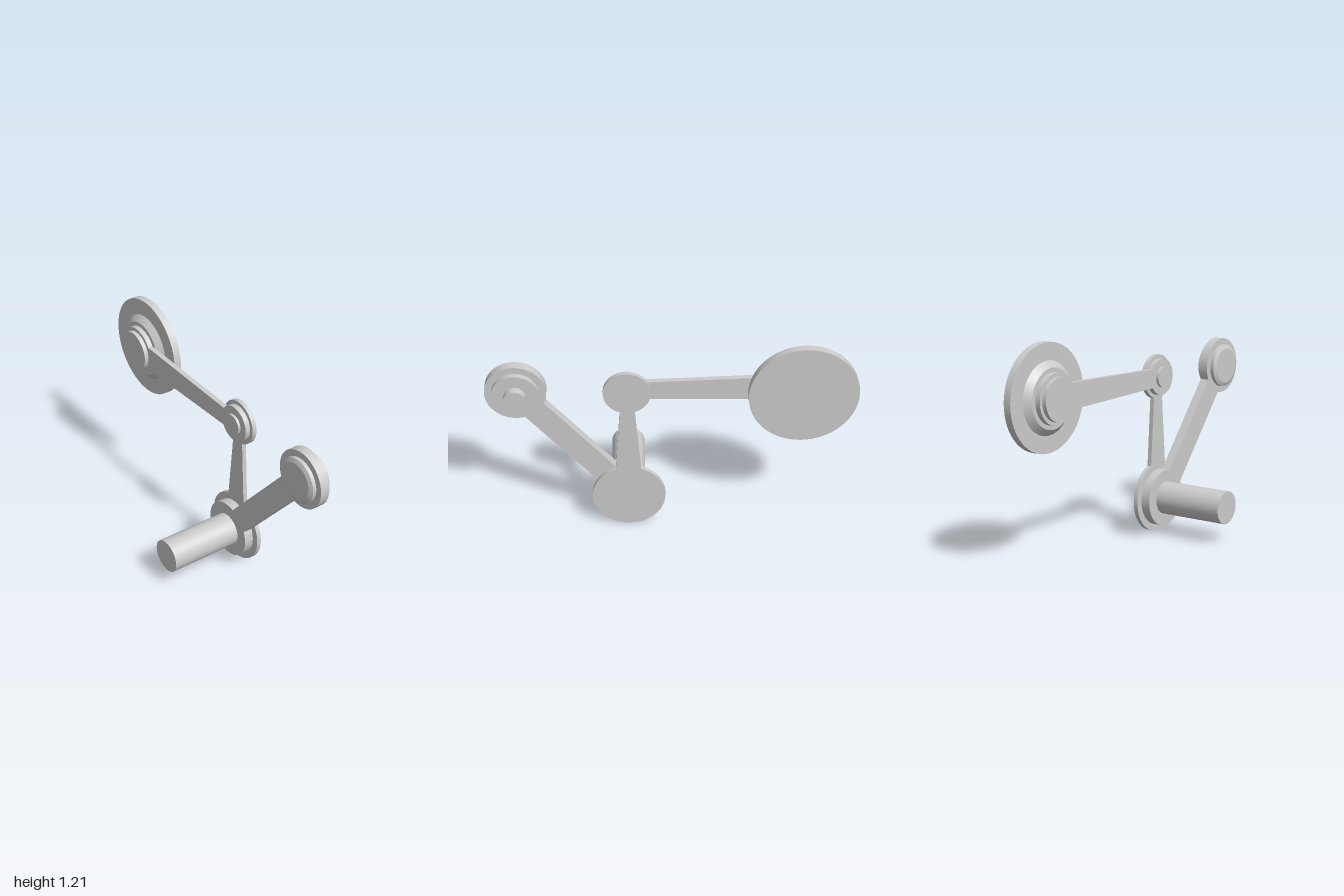
import * as THREE from 'three';
import { toCreasedNormals } from 'three/addons/utils/BufferGeometryUtils.js';

const material = new THREE.MeshStandardMaterial({ color: 0xcccccc });

// Joint centres in the (z, y) plane; all axles run along x
const PIVOT = { z: 0.24, y: 0.205 };
const ELBOW = { z: 0.24, y: 0.918 };
const ROLLER = { z: 0.835, y: 0.918 };
const PAD = { z: -0.704, y: 0.918 };

function addMesh(group, name, geometry) {
  const mesh = new THREE.Mesh(geometry, material);
  mesh.name = name;
  group.add(mesh);
}

// Round part on a joint from x0 to x1, with radius r0 at x0 and r1 at x1
function addDisc(group, name, joint, x0, x1, r0, r1 = r0) {
  const geometry = new THREE.CylinderGeometry(r1, r0, x1 - x0, 64);
  geometry.rotateZ(-Math.PI / 2);
  geometry.translate((x0 + x1) / 2, joint.y, joint.z);
  addMesh(group, name, geometry);
}

// Flat link: two round ends (radius r) joined by a bar (half width h at each end)
function addLink(group, name, a, b, x0, x1) {
  const dir = Math.atan2(b.joint.y - a.joint.y, a.joint.z - b.joint.z);
  const shape = new THREE.Shape();
  for (const [end, angle] of [[a, dir], [b, dir + Math.PI]]) {
    const gap = Math.asin(end.h / end.r);
    shape.absarc(-end.joint.z, end.joint.y, end.r, angle + gap, angle + 2 * Math.PI - gap, false);
  }
  const geometry = new THREE.ExtrudeGeometry(shape, {
    depth: x1 - x0, bevelEnabled: false, curveSegments: 32,
  });
  geometry.rotateY(Math.PI / 2);
  geometry.translate(x0, 0, 0);
  addMesh(group, name, toCreasedNormals(geometry, 0.5));
}

export function createModel() {
  const model = new THREE.Group();
  model.name = 'linkage';

  // Main axle
  addDisc(model, 'axle', PIVOT, -0.28, 0.145, 0.095);

  // Three links, stacked along x
  addLink(model, 'rollerArm',
    { joint: PIVOT, r: 0.165, h: 0.069 }, { joint: ROLLER, r: 0.165, h: 0.069 }, 0.145, 0.2);
  addLink(model, 'uprightArm',
    { joint: PIVOT, r: 0.205, h: 0.07 }, { joint: ELBOW, r: 0.128, h: 0.04 }, 0.2, 0.226);
  addLink(model, 'padArm',
    { joint: ELBOW, r: 0.106, h: 0.054 }, { joint: PAD, r: 0.14, h: 0.073 }, 0.17, 0.2);

  // Elbow pin
  addDisc(model, 'elbowPin', ELBOW, 0.155, 0.17, 0.06);

  // Roller end: chamfered cap, flange and stud
  addDisc(model, 'rollerCapChamfer', ROLLER, 0.114, 0.124, 0.105, 0.128);
  addDisc(model, 'rollerCap', ROLLER, 0.124, 0.145, 0.128);
  addDisc(model, 'rollerFlange', ROLLER, 0.2, 0.232, 0.128);
  addDisc(model, 'rollerStud', ROLLER, 0.232, 0.277, 0.06);

  // Pad end: hub, flared collar and large disc
  addDisc(model, 'padHub', PAD, 0.145, 0.17, 0.12);
  addDisc(model, 'padCollar', PAD, 0.2, 0.233, 0.165, 0.2);
  addDisc(model, 'padDisc', PAD, 0.233, 0.277, 0.296);

  return model;
}
